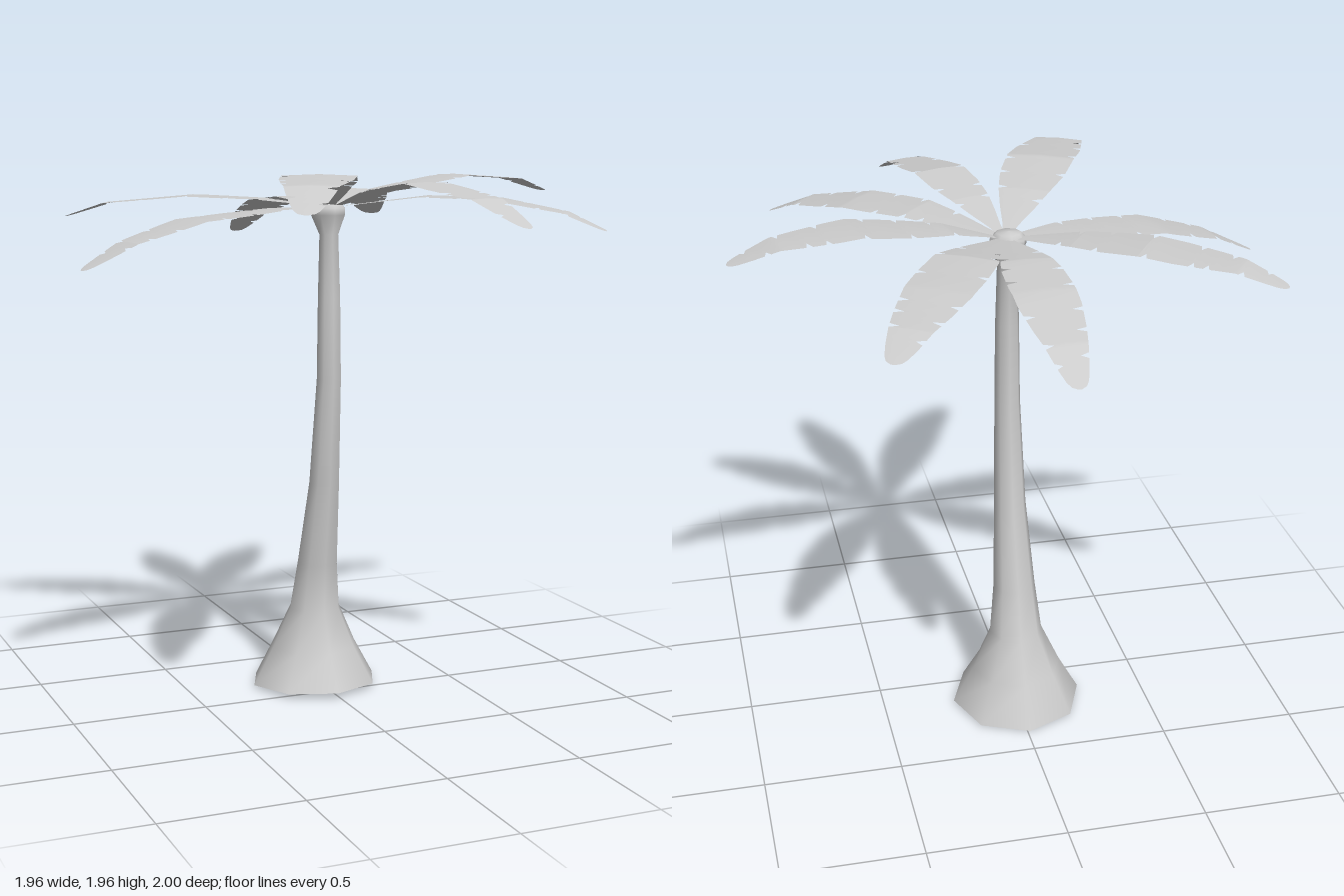
import * as THREE from 'three';
import { mergeVertices } from 'three/addons/utils/BufferGeometryUtils.js';

const material = new THREE.MeshStandardMaterial({ color: 0xcccccc, side: THREE.DoubleSide });

// Piecewise-linear lookup in [position, value] pairs
function lerpTable(table, t) {
  for (let i = 1; i < table.length; i++) {
    const [a, va] = table[i - 1], [b, vb] = table[i];
    if (t <= b) return va + (vb - va) * (t - a) / (b - a);
  }
  return table[table.length - 1][1];
}

// Trunk rings from the flared foot to the crown: [y, x, z, radius]
const RINGS = [
  [0.01, -0.01, -0.145, 0.245], [0.15, -0.01, -0.145, 0.168], [0.3, -0.01, -0.135, 0.1],
  [0.48, -0.01, -0.107, 0.08], [0.8, -0.008, -0.043, 0.06], [1.2, -0.008, 0.003, 0.048],
  [1.5, -0.008, 0.005, 0.044], [1.73, -0.008, 0.003, 0.037], [1.8, -0.01, 0, 0.066],
  [1.825, -0.01, 0, 0.066], [1.845, -0.012, 0, 0.045], [1.85, -0.012, 0, 0.001],
];

function createTrunk() {
  const sides = 8, rows = RINGS.length - 1;
  let geo = new THREE.CylinderGeometry(1, 1, 1, sides, rows, true);
  const p = geo.attributes.position;
  for (let i = 0; i < p.count; i++) {
    const row = Math.round((p.getY(i) + 0.5) * rows);
    const [y, x, z, r] = RINGS[row];
    // The foot is cut at a slight slant
    const slant = row === 0 ? p.getZ(i) * 0.01 : 0;
    p.setXYZ(i, x + p.getX(i) * r, y + slant, z + p.getZ(i) * r);
  }
  geo.deleteAttribute('uv');
  geo.deleteAttribute('normal');
  geo = mergeVertices(geo, 1e-5);
  geo.computeVertexNormals();
  const trunk = new THREE.Mesh(geo, material);
  trunk.name = 'trunk';
  return trunk;
}

// Frond outline as a fraction of the greatest half width
const OUTLINE = [
  [0, 0.12], [0.06, 0.24], [0.15, 0.5], [0.25, 0.75], [0.37, 0.95], [0.5, 1], [0.62, 0.97],
  [0.75, 0.8], [0.85, 0.62], [0.92, 0.47], [0.97, 0.33], [0.99, 0.22], [1, 0.06],
];
// Tears along the two edges
const TEARS = [[0.21, 0.36, 0.51, 0.67, 0.75, 0.86], [0.26, 0.35, 0.48, 0.68, 0.81, 0.91]];
const TEAR_WIDTH = 0.011, TEAR_DEPTH = 0.035;

// Each frond: tip x and z, half width, and height along its length
const FRONDS = [
  { tip: [-0.01, -1.0], width: 0.108, rise: [[0, 1.83], [0.3, 1.86], [0.55, 1.84], [0.83, 1.77], [1, 1.69]] },
  { tip: [0.54, -0.85], width: 0.122, rise: [[0, 1.83], [0.35, 1.885], [0.6, 1.865], [0.85, 1.82], [1, 1.76]] },
  { tip: [0.98, -0.18], width: 0.107, rise: [[0, 1.83], [0.2, 1.89], [0.55, 1.94], [0.83, 1.922], [1, 1.87]] },
  { tip: [0.75, 0.68], width: 0.112, rise: [[0, 1.83], [0.35, 1.875], [0.6, 1.87], [0.85, 1.825], [1, 1.76]] },
  { tip: [0.27, 1.0], width: 0.1, rise: [[0, 1.83], [0.25, 1.895], [0.5, 1.93], [0.8, 1.885], [1, 1.795]] },
  { tip: [-0.48, 0.96], width: 0.127, rise: [[0, 1.83], [0.25, 1.915], [0.5, 1.96], [0.8, 1.935], [1, 1.85]] },
  { tip: [-0.98, 0.19], width: 0.113, rise: [[0, 1.83], [0.2, 1.83], [0.57, 1.80], [0.82, 1.73], [1, 1.64]] },
  { tip: [-0.84, -0.57], width: 0.112, rise: [[0, 1.83], [0.25, 1.86], [0.5, 1.87], [0.83, 1.84], [1, 1.785]] },
];

function createFrond({ tip, width, rise }, index) {
  // Shift the tears a little from frond to frond
  const tears = TEARS.map((side, s) =>
    side.map((t, k) => t + 0.02 * Math.sin(index * 2.3 + k * 1.7 + s)));
  if (index % 2) tears.reverse();

  const stations = [...OUTLINE.map(o => o[0]), ...rise.map(r => r[0])];
  tears.flat().forEach(t => stations.push(t - TEAR_WIDTH, t, t + TEAR_WIDTH));
  const ts = [...new Set(stations.map(t => +Math.min(1, t).toFixed(4)))].sort((a, b) => a - b);

  const halfWidth = (t, side) => {
    let w = lerpTable(OUTLINE, t) * width;
    for (const c of tears[side]) {
      w -= TEAR_DEPTH * Math.max(0, 1 - Math.abs(t - c) / TEAR_WIDTH) * Math.min(1, w / 0.08);
    }
    return Math.max(w, 0.004);
  };

  // Three columns: one edge, midrib, other edge
  const length = Math.hypot(...tip);
  const dx = tip[0] / length, dz = tip[1] / length;
  const positions = [], faces = [];
  ts.forEach((t, i) => {
    const y = lerpTable(rise, t), r = 0.02 + t * (length - 0.02);
    for (const offset of [-halfWidth(t, 0), 0, halfWidth(t, 1)]) {
      const droop = Math.abs(offset) * 0.04;
      positions.push(dx * r - dz * offset, y - droop, dz * r + dx * offset);
    }
    if (i === 0) return;
    for (let c = 0; c < 2; c++) {
      const a = (i - 1) * 3 + c, b = a + 1, d = a + 3, e = a + 4;
      faces.push(a, b, e, a, e, d);
    }
  });
  const geo = new THREE.BufferGeometry();
  geo.setAttribute('position', new THREE.Float32BufferAttribute(positions, 3));
  geo.setIndex(faces);
  geo.computeVertexNormals();
  const frond = new THREE.Mesh(geo, material);
  frond.name = 'frond' + (index + 1);
  return frond;
}

export function createModel() {
  const model = new THREE.Group();
  model.name = 'palmTree';
  model.add(createTrunk());
  const crown = new THREE.Group();
  crown.name = 'crown';
  FRONDS.forEach((spec, i) => crown.add(createFrond(spec, i)));
  model.add(crown);
  return model;
}
